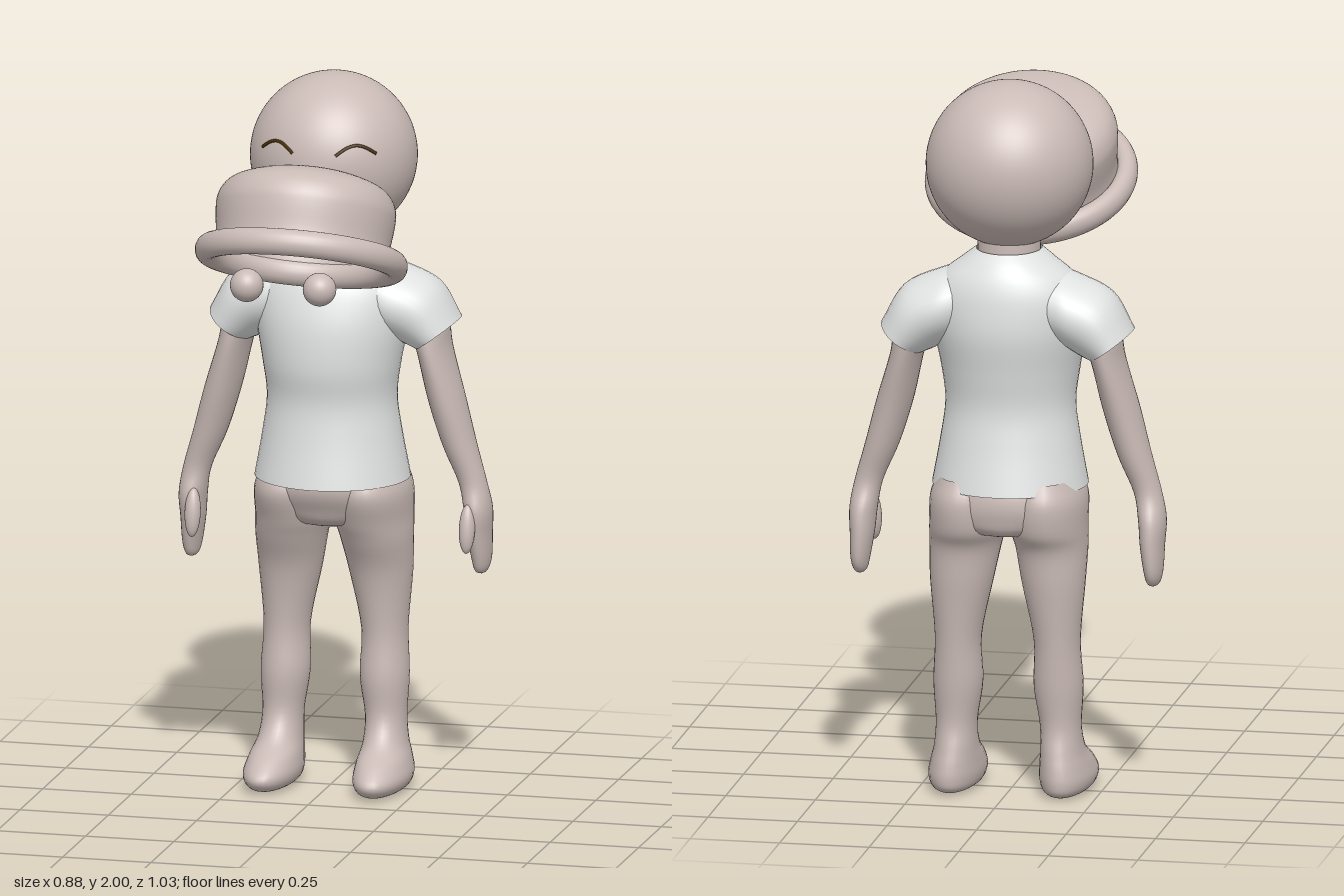
import * as THREE from 'three';

const skin = new THREE.MeshStandardMaterial({ color: 0xcabbb6 });
skin.name = 'skin';
const hatMat = new THREE.MeshStandardMaterial({ color: 0xcabbb6, side: THREE.DoubleSide });
hatMat.name = 'hat shell';
const cloth = new THREE.MeshStandardMaterial({ color: 0xe0e1e1, side: THREE.DoubleSide });
cloth.name = 'white cloth';
const brown = new THREE.MeshStandardMaterial({ color: 0x4a2f08, side: THREE.DoubleSide });
brown.name = 'dark brown';

// Smooth loft through elliptical rings [cx, cy, cz, ux, uy, rz]; side = -1 mirrors in x
function loft(rings, side = 1, steps = 5, n = 32) {
  const centres = new THREE.CatmullRomCurve3(
    rings.map(r => new THREE.Vector3(r[0], r[1], r[2])), false, 'catmullrom');
  const sizes = new THREE.CatmullRomCurve3(
    rings.map(r => new THREE.Vector3(r[3], r[4], r[5])), false, 'catmullrom');
  const rows = (rings.length - 1) * steps;
  const pos = [], idx = [];
  for (let i = 0; i <= rows; i++) {
    const c = centres.getPoint(i / rows), s = sizes.getPoint(i / rows);
    for (let j = 0; j < n; j++) {
      const a = j / n * Math.PI * 2, k = Math.cos(a);
      pos.push(side * (c.x + k * s.x), c.y + k * s.y, c.z + Math.sin(a) * s.z);
      if (i === rows) continue;
      const p = i * n + j, q = i * n + (j + 1) % n;
      if (side > 0) idx.push(p, q, p + n, q, q + n, p + n);
      else idx.push(p, p + n, q, q, p + n, q + n);
    }
  }
  const g = new THREE.BufferGeometry();
  g.setAttribute('position', new THREE.Float32BufferAttribute(pos, 3));
  g.setIndex(idx);
  g.computeVertexNormals();
  return g;
}

// Level ring from height, centre x, half width, front z and back z
const level = ([y, cx, rx, front, back]) => [cx, y, (front + back) / 2, rx, 0, (front - back) / 2];

export function createModel() {
  const model = new THREE.Group();
  const add = (name, geometry, material, parent = model) => {
    const m = new THREE.Mesh(geometry, material);
    m.name = name;
    parent.add(m);
    return m;
  };

  // Head: a ball with a pointed nose and a shallow mouth crease
  const R = 0.23;
  const headGeo = new THREE.SphereGeometry(R, 72, 56);
  const p = headGeo.attributes.position;
  for (let i = 0; i < p.count; i++) {
    const x = p.getX(i), y = p.getY(i), z = p.getZ(i);
    if (z <= 0) continue;
    const nose = 0.042 * Math.exp(-((x + 0.005) ** 2 + (y + 0.083) ** 2) / 0.0026);
    const crease = Math.abs(x) < 0.16
      ? 0.006 * Math.exp(-((y + 0.118 - x * x * 0.7) ** 2) / 0.00008) : 0;
    p.setZ(i, z + nose - crease);
  }
  headGeo.computeVertexNormals();
  const head = new THREE.Group();
  head.name = 'headGroup';
  head.position.set(0, 1.77, -0.285);
  model.add(head);
  add('head', headGeo, skin, head);

  // Closed, arched eyes lying on the face
  for (const s of [-1, 1]) {
    const pts = [];
    for (let i = 0; i <= 8; i++) {
      const t = i / 8;
      const x = s * (0.06 + 0.1 * t), y = 0.047 + 0.026 * Math.sin(Math.PI * t);
      pts.push(new THREE.Vector3(x, y, Math.sqrt(R * R - x * x - y * y)));
    }
    add(s > 0 ? 'leftEye' : 'rightEye',
      new THREE.TubeGeometry(new THREE.CatmullRomCurve3(pts), 24, 0.0048, 6), brown, head);
  }

  // Neck
  add('neck', new THREE.CylinderGeometry(0.085, 0.09, 0.16, 32), skin).position.set(0, 1.52, -0.29);

  // Shirt body, open at neck and hem
  add('shirtBody', loft([
    [1.535, 0, 0.09, -0.19, -0.39],
    [1.505, 0, 0.13, -0.17, -0.42],
    [1.46, 0, 0.185, -0.145, -0.445],
    [1.40, 0, 0.215, -0.115, -0.46],
    [1.31, 0, 0.212, -0.09, -0.465],
    [1.20, 0, 0.192, -0.085, -0.447],
    [1.10, 0, 0.18, -0.1, -0.435],
    [1.0, 0, 0.192, -0.09, -0.45],
    [0.87, 0, 0.215, -0.065, -0.48],
  ].map(level), 1, 5, 48), cloth);

  // Hips
  add('hips', loft([
    [0.97, 0, 0.17, -0.13, -0.42],
    [0.87, 0, 0.207, -0.095, -0.462],
    [0.80, 0, 0.205, -0.12, -0.462],
    [0.75, 0, 0.13, -0.16, -0.43],
    [0.73, 0, 0.002, -0.29, -0.294],
  ].map(level)), skin);

  for (const s of [1, -1]) {
    const name = s > 0 ? 'left' : 'right';

    // Sleeve, turning from the shoulder to a slanted opening
    add(name + 'Sleeve', loft([
      [0.13, 1.385, -0.295, 0, 0.1, 0.13],
      [0.18, 1.368, -0.3, 0.01, 0.1, 0.138],
      [0.245, 1.335, -0.305, 0.045, 0.085, 0.13],
      [0.292, 1.278, -0.308, 0.058, 0.042, 0.117],
    ], s), cloth);

    // Arm and palm
    add(name + 'Arm', loft([
      [1.40, 0.225, 0.05, -0.24, -0.38],
      [1.32, 0.258, 0.055, -0.215, -0.41],
      [1.235, 0.28, 0.045, -0.207, -0.405],
      [1.10, 0.315, 0.05, -0.22, -0.38],
      [0.97, 0.352, 0.047, -0.24, -0.36],
      [0.865, 0.389, 0.039, -0.255, -0.345],
      [0.79, 0.403, 0.038, -0.24, -0.372],
      [0.72, 0.405, 0.033, -0.25, -0.38],
      [0.65, 0.409, 0.026, -0.268, -0.375],
      [0.615, 0.409, 0.017, -0.285, -0.355],
      [0.603, 0.409, 0.001, -0.319, -0.321],
    ].map(level), s), skin);

    // Thumb
    const thumb = add(name + 'Thumb', new THREE.SphereGeometry(1, 20, 16), skin);
    thumb.scale.set(0.022, 0.068, 0.024);
    thumb.position.set(s * 0.388, 0.745, -0.24);
    thumb.rotation.x = -0.16;

    // Leg running down into the foot
    add(name + 'Leg', loft([
      [0.90, 0.108, 0.085, -0.13, -0.44],
      [0.84, 0.112, 0.104, -0.108, -0.465],
      [0.76, 0.112, 0.106, -0.137, -0.455],
      [0.70, 0.12, 0.099, -0.165, -0.422],
      [0.60, 0.128, 0.087, -0.208, -0.41],
      [0.44, 0.138, 0.064, -0.23, -0.39],
      [0.31, 0.14, 0.068, -0.22, -0.38],
      [0.20, 0.145, 0.057, -0.222, -0.37],
      [0.13, 0.148, 0.06, -0.18, -0.385],
      [0.085, 0.152, 0.07, -0.1, -0.397],
      [0.045, 0.155, 0.076, -0.055, -0.402],
      [0.015, 0.155, 0.066, -0.07, -0.392],
      [0.002, 0.155, 0.04, -0.12, -0.35],
      [0.0, 0.155, 0.001, -0.23, -0.232],
    ].map(level), s), skin);
  }

  // Tilted round hat, hollow from below
  const hat = new THREE.Group();
  hat.name = 'hat';
  hat.position.set(0.045, 1.603, 0.246);
  hat.rotation.x = -0.405;
  model.add(hat);
  const crown = new THREE.SplineCurve([
    [0.245, -0.03], [0.24, 0.04], [0.247, 0.11], [0.246, 0.15], [0.228, 0.188],
    [0.19, 0.216], [0.12, 0.238], [0.05, 0.247], [0, 0.248],
  ].map(q => new THREE.Vector2(...q))).getPoints(32);
  crown[32].x = 0;
  add('hatCrown', new THREE.LatheGeometry(crown, 64), hatMat, hat);
  const brimGeo = new THREE.TorusGeometry(0.262, 0.031, 20, 72);
  brimGeo.rotateX(Math.PI / 2);
  brimGeo.scale(1, 1.2, 1);
  add('hatBrim', brimGeo, skin, hat);

  // Two small balls below the front of the brim
  for (const x of [-0.074, 0.132])
    add('ball', new THREE.SphereGeometry(0.046, 28, 20), skin).position.set(x, 1.552, 0.383);

  return model;
}
